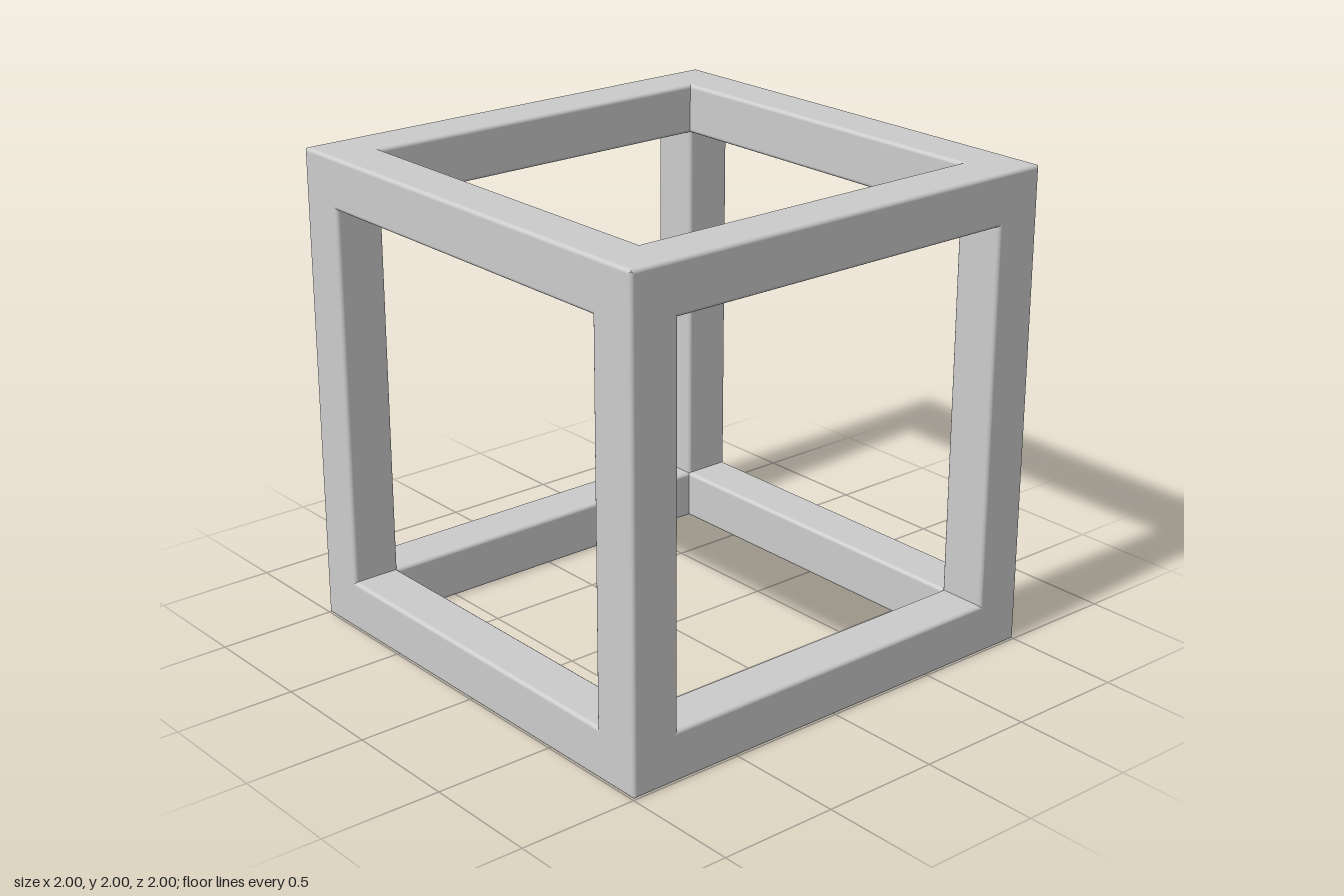
import * as THREE from 'three';

const OUTER = 1;      // half size of the cube
const INNER = 0.79;   // half size of the openings
const ROUND = 0.016;  // edge rounding
const STEPS = 4;      // even, so a vertex lies on each mitre

// One bar along x on the +y +z edge: a rounded square section whose ends are
// mitred at |x| = min(y, z), so three bars close each cube corner exactly.
function barGeometry() {
  const position = [], normal = [], index = [];
  const hi = OUTER - ROUND, lo = INNER + ROUND;
  const centres = [[hi, hi], [lo, hi], [lo, lo], [hi, lo]];
  centres.forEach(([cy, cz], corner) => {
    for (let s = 0; s <= STEPS; s++) {
      const a = (corner + s / STEPS) * Math.PI / 2;
      const y = cy + ROUND * Math.cos(a), z = cz + ROUND * Math.sin(a);
      const end = Math.min(y, z);
      position.push(-end, y, z, end, y, z);
      normal.push(0, Math.cos(a), Math.sin(a), 0, Math.cos(a), Math.sin(a));
    }
  });
  const count = position.length / 6;
  for (let i = 0; i < count; i++) {
    const a = 2 * i, b = 2 * ((i + 1) % count);
    index.push(a, b, b + 1, a, b + 1, a + 1);
  }
  const geometry = new THREE.BufferGeometry();
  geometry.setAttribute('position', new THREE.Float32BufferAttribute(position, 3));
  geometry.setAttribute('normal', new THREE.Float32BufferAttribute(normal, 3));
  geometry.setIndex(index);
  return geometry;
}

export function createModel() {
  const model = new THREE.Group();
  model.name = 'cubeFrame';
  const material = new THREE.MeshStandardMaterial({ color: 0xcccccc });
  const geometry = barGeometry();

  // Four parallel bars for each of the three directions
  const directions = [
    ['crossBar', 0, 0],
    ['uprightPost', 0, Math.PI / 2],
    ['sideBar', Math.PI / 2, 0],
  ];
  for (const [name, turnY, turnZ] of directions) {
    const set = new THREE.Group();
    set.name = name + 's';
    set.rotation.set(0, turnY, turnZ);
    set.position.y = OUTER;
    for (let k = 0; k < 4; k++) {
      const bar = new THREE.Mesh(geometry, material);
      bar.name = name + (k + 1);
      bar.rotation.x = k * Math.PI / 2;
      set.add(bar);
    }
    model.add(set);
  }
  return model;
}
